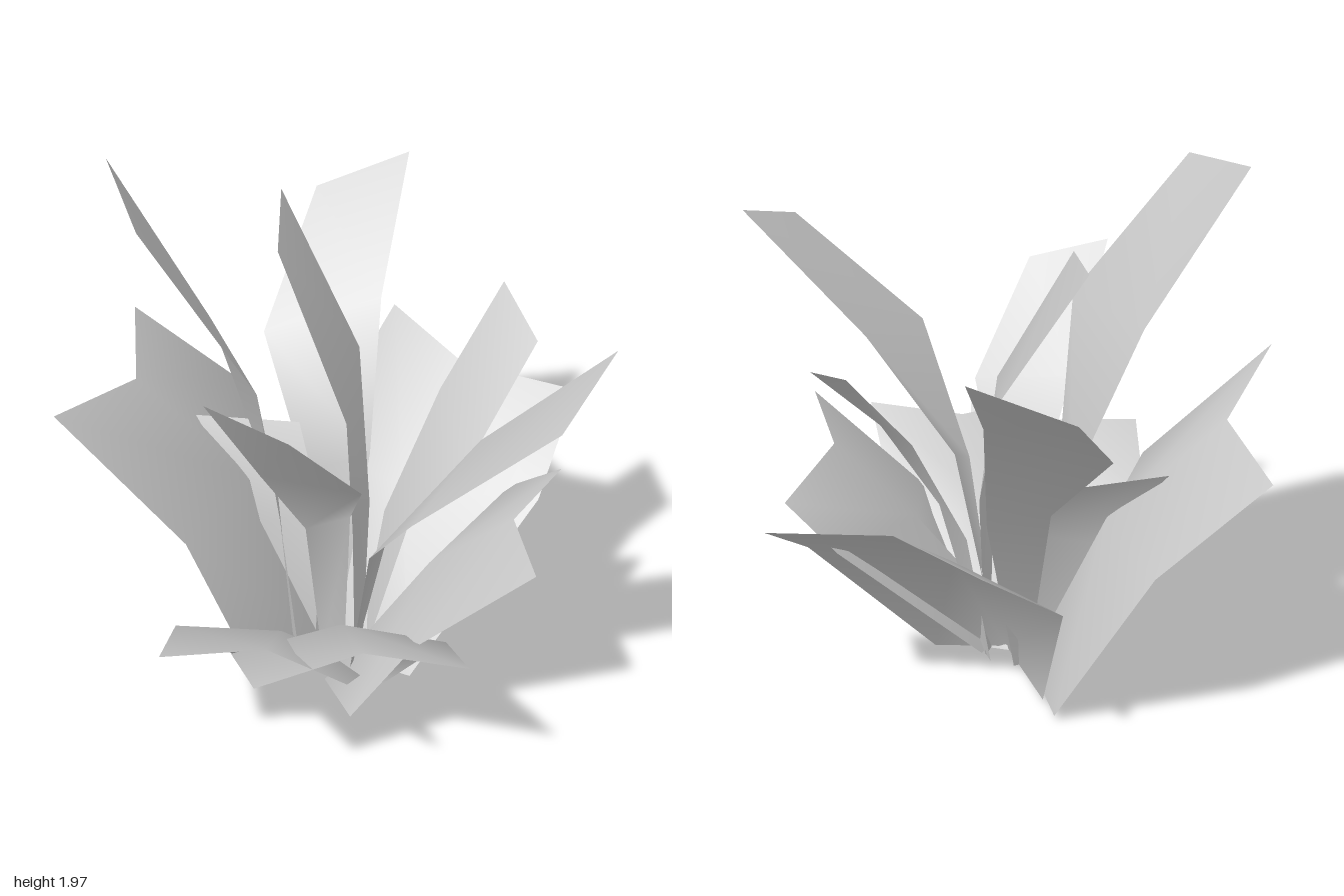
import * as THREE from 'three';

const material = new THREE.MeshStandardMaterial({ color: 0xcccccc, side: THREE.DoubleSide });

// A leaf is lofted through cross-sections from tip to base, each given by its two edge points.
// A fold vector adds a midrib, shifted by that vector, between the two edges.
function leaf(name, sections, fold) {
  const rows = sections.map(([a, b]) => {
    const left = new THREE.Vector3(...a);
    const right = new THREE.Vector3(...b);
    if (!fold) return [left, right];
    const rib = left.clone().lerp(right, 0.5).add(new THREE.Vector3(...fold));
    rib.y = Math.max(rib.y, 0.05); // the rib ends slightly above the base corners
    return [left, rib, right];
  });
  const cols = rows[0].length;
  const index = [];
  for (let r = 0; r < rows.length - 1; r++) {
    for (let c = 0; c < cols - 1; c++) {
      const i = r * cols + c;
      const j = i + cols;
      index.push(i, j, i + 1, i + 1, j, j + 1);
    }
  }
  const geometry = new THREE.BufferGeometry().setFromPoints(rows.flat());
  geometry.setIndex(index);
  geometry.computeVertexNormals();
  const mesh = new THREE.Mesh(geometry, material);
  mesh.name = name;
  return mesh;
}

export function createModel() {
  const plant = new THREE.Group();
  plant.name = 'plant';

  // Broad folded outer leaves with notched tips
  const outer = new THREE.Group();
  outer.name = 'outerLeaves';
  outer.add(
    leaf('rightBroadLeaf', [
      [[-1, 1.09, -0.28], [-0.78, 1.17, 0.58]],
      [[-0.67, 0.77, -0.46], [-0.35, 0.71, 0.47]],
      [[-0.27, 0.02, -0.28], [-0.2, 0.02, 0.27]],
    ], [0.15, -0.05, -0.02]),
    leaf('backBroadLeaf', [
      [[0.56, 0.89, -0.8], [-0.25, 0.96, -0.94]],
      [[0.58, 0.63, -0.44], [-0.36, 0.57, -0.47]],
      [[0.29, 0.02, 0], [-0.2, 0.02, -0.2]],
    ], [-0.02, 0, 0.14]),
    leaf('leftBroadLeaf', [
      [[0.86, 0.855, 0.26], [0.66, 0.79, -0.44]],
      [[0.47, 0.48, 0.36], [0.46, 0.64, -0.46]],
      [[0.2, 0.02, 0.3], [0.1, 0.04, -0.02]],
    ], [-0.11, 0, 0.05]),
    leaf('frontBroadLeaf', [
      [[-0.19, 0.6, 0.92], [0.45, 0.65, 0.81]],
      [[-0.325, 0.455, 0.6], [0.3, 0.34, 0.42]],
      [[-0.22, 0.01, 0.2], [0.1, 0.04, 0.1]],
    ], [-0.01, 0, -0.115]),
    leaf('frontLeftBroadLeaf', [
      [[0.18, 0.625, 0.94], [0.775, 0.67, 0.58]],
      [[-0.07, 0.47, 0.66], [0.52, 0.41, 0.2]],
      [[-0.13, 0, 0.2], [0.21, 0, 0.07]],
    ], [-0.055, 0, -0.115]),
  );

  // Tall narrow inner leaves
  const inner = new THREE.Group();
  inner.name = 'innerLeaves';
  inner.add(
    leaf('tallestLeaf', [
      [[-0.76, 1.97, 0.2], [-0.48, 1.89, 0.47]],
      [[-0.45, 1.39, 0.09], [-0.1, 1.35, 0.39]],
      [[-0.19, 0.72, 0.1], [-0.1, 0.75, 0.25]],
      [[-0.15, 0.03, 0.07], [-0.1, 0.03, 0.12]],
    ]),
    leaf('centreLeaf', [
      [[-0.37, 1.73, -0.28], [-0.22, 1.67, 0.02]],
      [[-0.05, 1.2, -0.25], [0.08, 1.12, 0.1]],
      [[0.09, 0.7, -0.06], [0.09, 0.65, 0.07]],
      [[0.08, 0.04, -0.03], [0.08, 0.04, 0.03]],
    ]),
    leaf('frontLeaf', [
      [[-0.14, 1.45, 0.66], [0.14, 1.36, 0.61]],
      [[-0.1, 1.02, 0.38], [0.235, 1, 0.29]],
      [[-0.06, 0.66, 0.14], [0.11, 0.76, 0.13]],
      [[-0.04, 0.04, 0.06], [0.04, 0.04, 0.04]],
    ]),
    leaf('backLeftLeaf', [
      [[0.55, 1.3, -0.42], [0.34, 1.39, -0.6]],
      [[0.45, 0.95, -0.08], [0.22, 1.05, -0.35]],
      [[0.25, 0.65, -0.04], [0.1, 0.6, -0.16]],
      [[0.1, 0.04, 0], [0.05, 0.04, -0.06]],
    ]),
    leaf('leftLeaf', [
      [[0.96, 1.51, 0.375], [1, 1.64, 0.04]],
      [[0.52, 1.1, 0.5], [0.57, 1.2, 0.09]],
      [[0.24, 0.7, 0.24], [0.27, 0.74, 0.17]],
      [[0.12, 0.04, 0.17], [0.1, 0.04, 0.12]],
    ]),
    leaf('backRightLeaf', [
      [[-0.2, 1.62, -0.94], [-0.51, 1.47, -0.8]],
      [[-0.1, 1.25, -0.52], [-0.48, 1.1, -0.33]],
      [[-0.02, 0.74, -0.28], [-0.19, 0.72, -0.1]],
      [[-0.04, 0.04, -0.06], [-0.08, 0.04, -0.02]],
    ]),
    leaf('shortLeaf', [
      [[-0.25, 0.87, -0.17], [-0.58, 0.9, 0]],
      [[-0.1, 0.6, -0.05], [-0.31, 0.55, 0.05]],
      [[-0.1, 0.03, 0], [-0.15, 0.02, 0.04]],
    ]),
  );

  plant.add(outer, inner);
  return plant;
}
